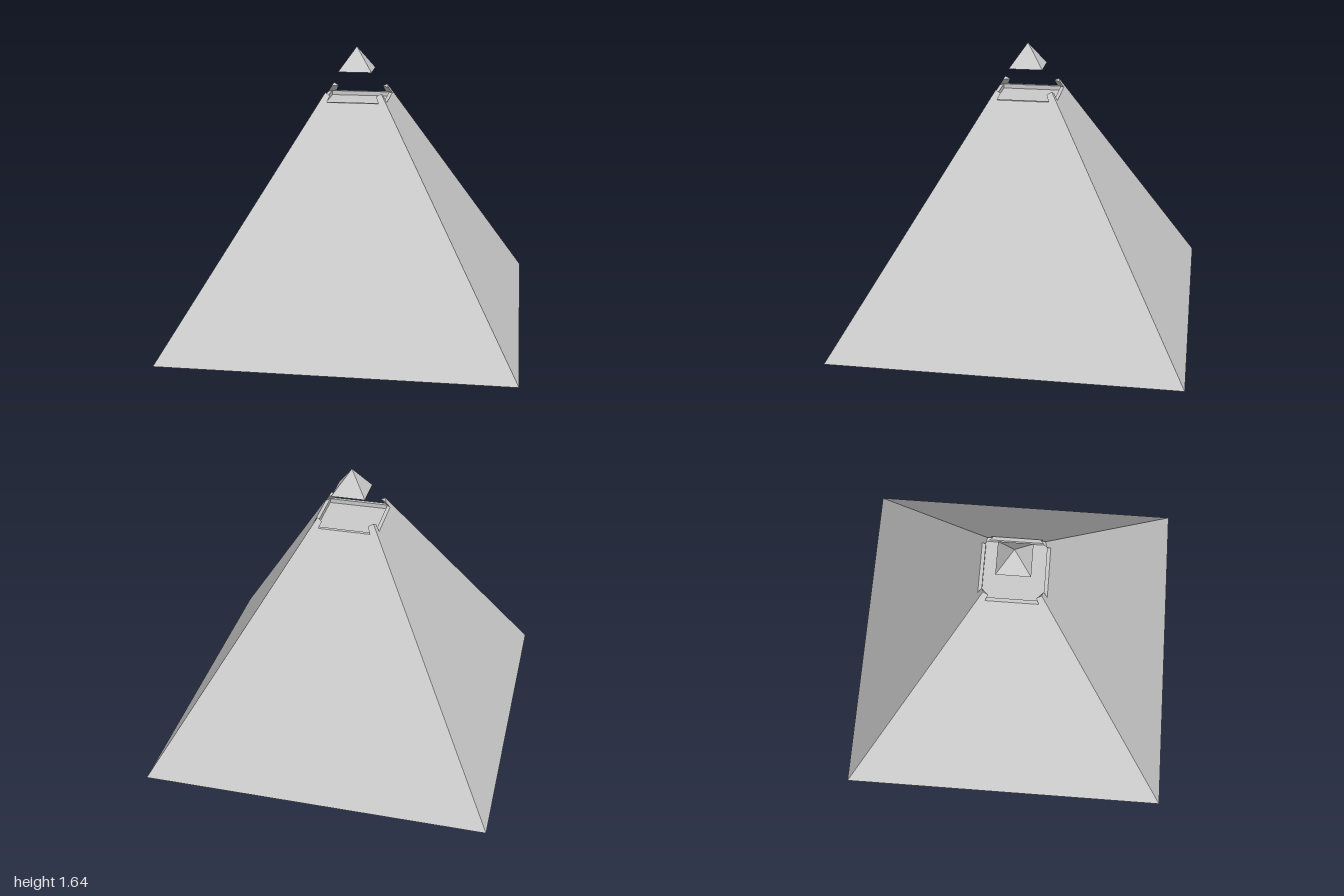
import * as THREE from 'three';
import { ConvexGeometry } from 'three/addons/geometries/ConvexGeometry.js';

const material = new THREE.MeshStandardMaterial({ color: 0xcccccc, flatShading: true });

// Square solid from a profile of [half width, height] pairs, bottom to top
function squareSolid(name, profile) {
  const points = profile.map(([half, y]) => new THREE.Vector2(half * Math.SQRT2, y));
  const geometry = new THREE.LatheGeometry(points, 4, Math.PI / 4).toNonIndexed();
  geometry.computeVertexNormals();
  const mesh = new THREE.Mesh(geometry, material);
  mesh.name = name;
  return mesh;
}

export function createModel() {
  const group = new THREE.Group();
  group.name = 'pyramid';

  const apex = 1.667, rimY = 1.343, floorY = 1.318;
  const halfAt = (y) => (1 - y / apex); // half width of the sloping sides at a height
  const rim = halfAt(rimY);

  // Truncated body with a shallow recess in its top
  group.add(squareSolid('body', [
    [0, 0], [1, 0], [rim, rimY], [rim - 0.021, rimY], [rim - 0.021, floorY], [0, floorY],
  ]));

  // Corner prongs that carry the sloping edges above the rim
  const shoulderY = 1.379, tipY = 1.396;
  const shoulder = halfAt(shoulderY), tip = halfAt(tipY);
  const prongGeometry = new ConvexGeometry([
    [rim, rimY, rim], [0.15, rimY, rim], [rim, rimY, 0.15],
    [0.134, shoulderY, shoulder], [shoulder, shoulderY, 0.134], [tip, tipY, tip],
  ].map((p) => new THREE.Vector3(...p)));
  for (let i = 0; i < 4; i++) {
    const prong = new THREE.Mesh(prongGeometry, material);
    prong.name = 'cornerProng';
    prong.rotation.y = i * Math.PI / 2;
    group.add(prong);
  }

  // Small floating capstone
  group.add(squareSolid('capstone', [[0, 1.505], [0.098, 1.505], [0, 1.643]]));

  return group;
}
